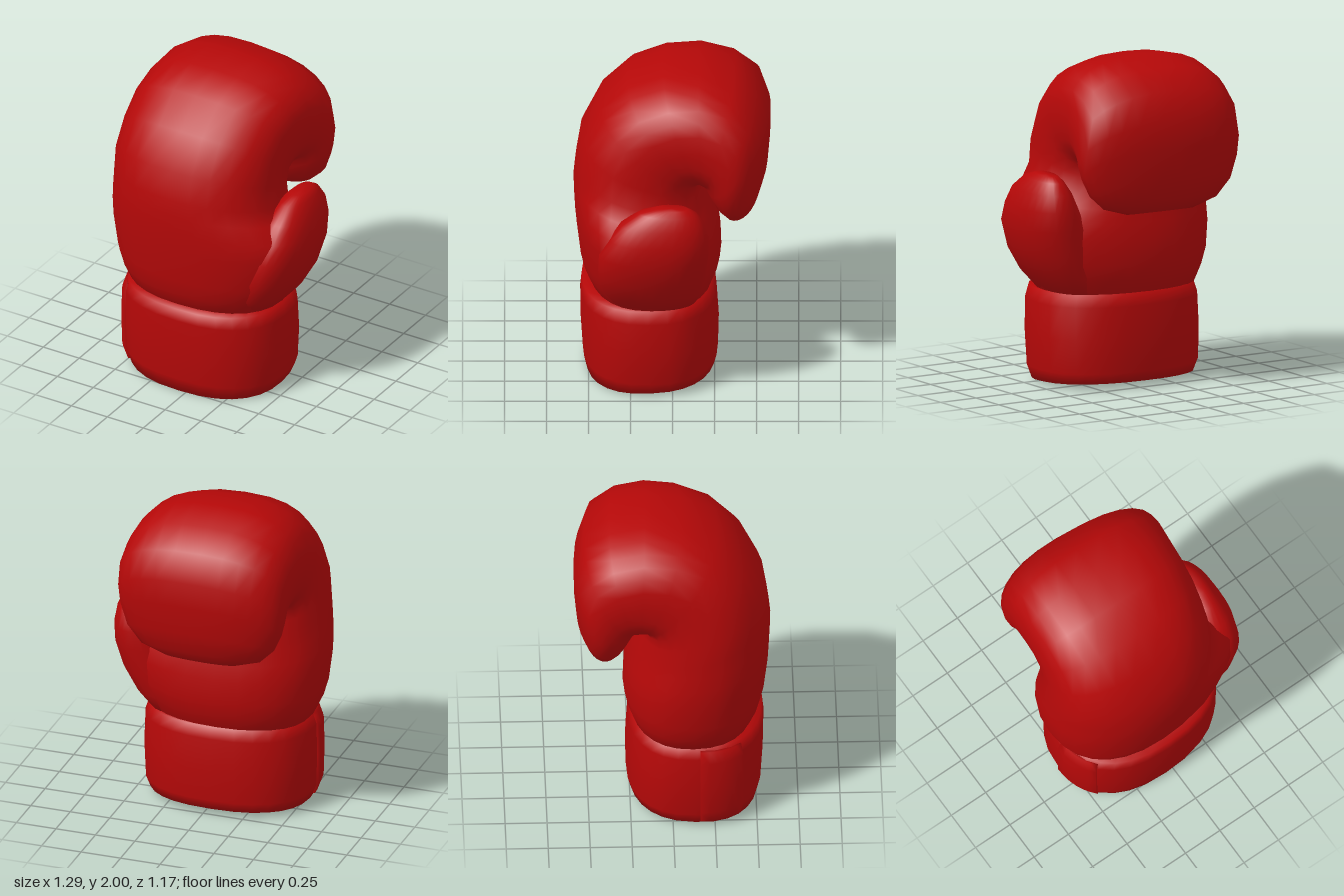
import * as THREE from 'three';

const SEG = 28;
const bulge = (v, n) => Math.sign(v) * Math.pow(Math.abs(v), 2 / n);

// Rounded ring between a front point [z, y] and a back point [z, y], spanning x0..x1 about mid;
// n sets how square it is, skew pushes z forward towards +x
function ring([fz, fy, bz, by, x0, x1, n = 2.4, skew = 0], mid = (x0 + x1) / 2) {
  return Array.from({ length: SEG }, (_, i) => {
    const t = (i / SEG) * Math.PI * 2;
    const c = bulge(Math.cos(t), n), s = bulge(Math.sin(t), n);
    const dx = c * (c > 0 ? x1 - mid : mid - x0);
    return new THREE.Vector3(
      mid + dx,
      (fy + by) / 2 + (s * (fy - by)) / 2,
      (fz + bz) / 2 + (s * (fz - bz)) / 2 + skew * dx
    );
  });
}

// Skin over a list of closed rings, with both ends drawn to a centre point
function loft(rings) {
  const n = rings[0].length;
  const centre = r => {
    const m = r.reduce((a, p) => a.add(p), new THREE.Vector3()).divideScalar(n);
    return r.map(() => m.clone());
  };
  const all = [centre(rings[0]), ...rings, centre(rings[rings.length - 1])];
  const index = [];
  for (let i = 0; i < all.length - 1; i++) {
    for (let j = 0; j < n; j++) {
      const a = i * n + j, b = i * n + ((j + 1) % n);
      index.push(a, a + n, b, b, a + n, b + n);
    }
  }
  const geo = new THREE.BufferGeometry().setFromPoints(all.flat());
  geo.setIndex(index);
  geo.computeVertexNormals();
  return geo;
}

export function createModel() {
  const group = new THREE.Group();
  const red = new THREE.MeshStandardMaterial({ color: 0xb50808 });
  const add = (name, rings) => {
    const mesh = new THREE.Mesh(loft(rings), red);
    mesh.name = name;
    group.add(mesh);
  };

  // Padded hand, widening into the thumb web, then curling over into the fist
  const hand = [
    [0.42, 0.5, -0.19, 0.5, -0.48, 0.38, 2.3],
    [0.49, 0.58, -0.24, 0.58, -0.56, 0.44, 2.3],
    [0.53, 0.67, -0.27, 0.66, -0.6, 0.5, 2.25],
    [0.555, 0.78, -0.29, 0.76, -0.63, 0.565, 2.25],
    [0.58, 1.0, -0.285, 0.9, -0.65, 0.615, 2.25],
    [0.587, 1.13, -0.265, 1.0, -0.65, 0.585, 2.25],
    [0.59, 1.24, -0.25, 1.08, -0.645, 0.5, 2.2],
    [0.58, 1.34, -0.235, 1.15, -0.64, 0.44, 2.2],
    [0.55, 1.52, -0.205, 1.25, -0.63, 0.43, 2.3],
    [0.44, 1.74, -0.19, 1.28, -0.61, 0.43, 2.4],
    [0.27, 1.9, -0.185, 1.29, -0.6, 0.44, 2.5],
    [0.06, 1.98, -0.185, 1.29, -0.59, 0.45, 2.6],
    [-0.16, 2.0, -0.185, 1.285, -0.585, 0.46, 2.6, 0.02],
    [-0.37, 1.95, -0.19, 1.28, -0.58, 0.48, 2.5, 0.03],
    [-0.52, 1.84, -0.195, 1.27, -0.575, 0.49, 2.4, 0.04],
    [-0.58, 1.66, -0.205, 1.24, -0.57, 0.49, 2.3, 0.05],
    [-0.58, 1.5, -0.22, 1.21, -0.555, 0.475, 2.2, 0.05],
    [-0.565, 1.32, -0.25, 1.15, -0.51, 0.43, 2.1, 0.05],
    [-0.525, 1.18, -0.29, 1.1, -0.42, 0.34, 2.1, 0.04],
    [-0.46, 1.1, -0.35, 1.08, -0.27, 0.19, 2, 0.02],
  ];
  add('hand', hand.map(r => ring(r, -0.08)));

  // Thumb, standing clear of the palm at its tip
  const thumb = [
    [0.36, 0.56, -0.14, 0.56, 0.1, 0.42, 2.2],
    [0.42, 0.68, -0.18, 0.68, 0.14, 0.525, 2.2],
    [0.445, 0.82, -0.2, 0.82, 0.19, 0.605, 2.2],
    [0.44, 0.98, -0.215, 0.98, 0.26, 0.645, 2.3],
    [0.38, 1.1, -0.215, 1.1, 0.32, 0.642, 2.3],
    [0.31, 1.2, -0.19, 1.2, 0.37, 0.62, 2.3],
    [0.2, 1.28, -0.145, 1.27, 0.42, 0.58, 2.2],
    [0.1, 1.31, -0.09, 1.305, 0.455, 0.55, 2.2],
  ];
  add('thumb', thumb.map(r => ring(r)));

  // Hollow cuff: down the lining, round the hem and up the outside
  const cuff = [
    [0.36, 0.46, -0.08, 0.46, -0.36, 0.26],
    [0.36, 0.25, -0.08, 0.25, -0.36, 0.26],
    [0.37, 0.08, -0.09, 0.11, -0.37, 0.27],
    [0.42, 0.025, -0.15, 0.06, -0.43, 0.33],
    [0.515, 0.0, -0.255, 0.04, -0.54, 0.44],
    [0.535, 0.09, -0.27, 0.1, -0.57, 0.47],
    [0.548, 0.3, -0.275, 0.3, -0.575, 0.48],
    [0.55, 0.5, -0.262, 0.5, -0.57, 0.475],
    [0.54, 0.575, -0.245, 0.575, -0.545, 0.45],
    [0.45, 0.575, -0.19, 0.575, -0.48, 0.38],
  ];
  add('cuff', cuff.map(r => ring(r)));

  // Closing strap on the outer side of the cuff
  const edge = [[0.93, 0.04], [0.93, 0.56], [0.98, 0.55], [1.025, 0.48], [1.035, 0.3], [1.025, 0.12], [0.97, 0.04]];
  const strap = [];
  for (let k = 0; k <= 6; k++) {
    const t = THREE.MathUtils.degToRad(142 + k * 6);
    const c = bulge(Math.cos(t), 2.4), s = bulge(Math.sin(t), 2.4);
    strap.push(edge.map(([r, y]) =>
      new THREE.Vector3(-0.05 + c * 0.525 * r, y, 0.137 + s * 0.412 * r)));
  }
  add('strap', strap);

  return group;
}
